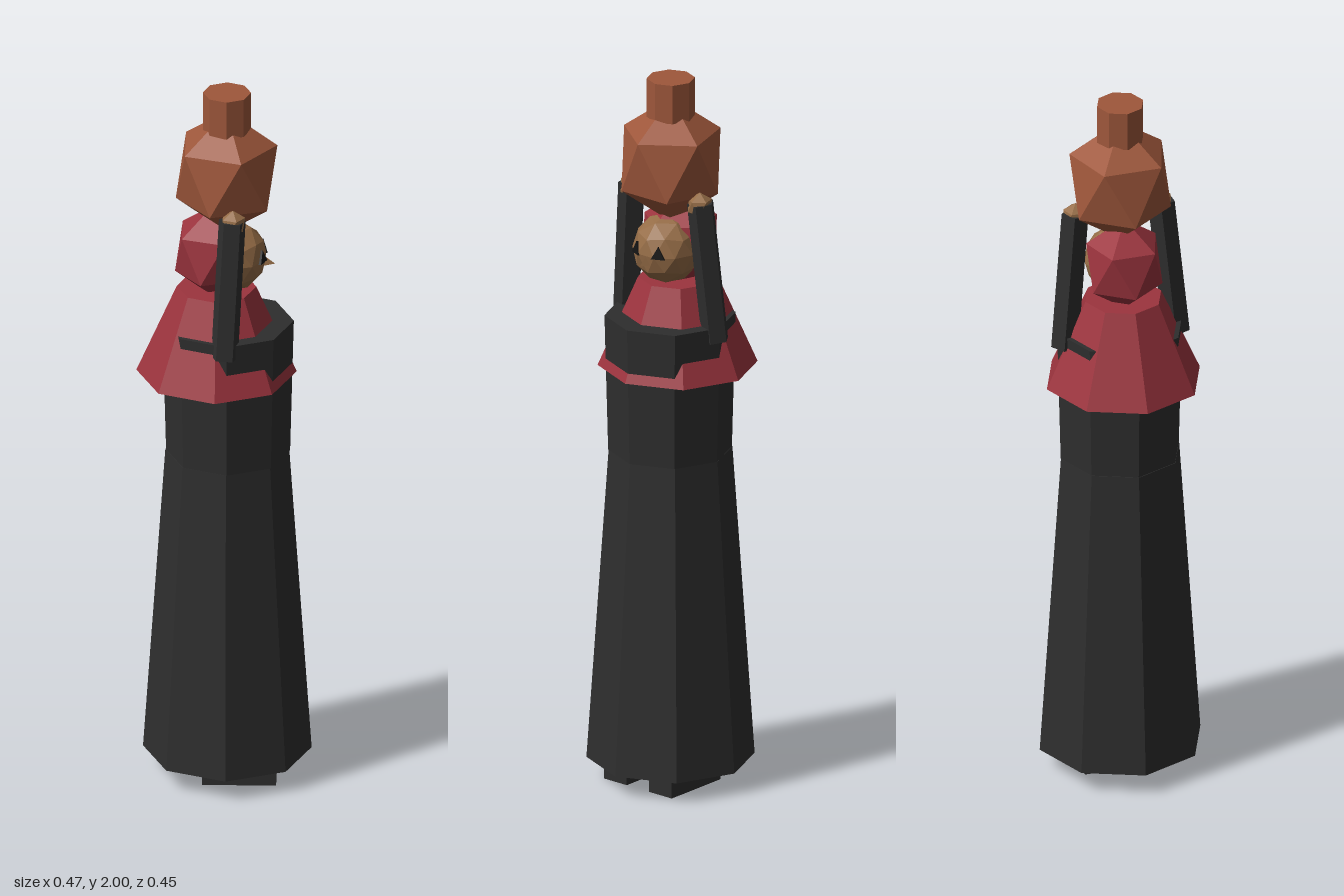
import * as THREE from 'three';

const mat = (name, color) => {
  const m = new THREE.MeshStandardMaterial({ color });
  m.name = name;
  return m;
};

// Faceted copy of a geometry, one normal per face
function facet(geo) {
  const g = geo.index ? geo.toNonIndexed() : geo;
  g.computeVertexNormals();
  return g;
}

// Icosahedron-based ball standing on a vertex, stretched vertically
function ball(rx, ry, detail) {
  const g = new THREE.IcosahedronGeometry(1, detail);
  g.rotateZ(-Math.atan(2 / (1 + Math.sqrt(5))));
  g.scale(rx, ry, rx);
  return facet(g);
}

// Faceted frustum between two heights
function frustum(rTop, rBottom, y0, y1, sides = 8) {
  const g = new THREE.CylinderGeometry(rTop, rBottom, y1 - y0, sides);
  g.translate(0, (y0 + y1) / 2, 0);
  return facet(g);
}

export function createModel() {
  const cloth = mat('blackCloth', 0x2e2e2e);
  const red = mat('redCloth', 0x9c343e);
  const clay = mat('clay', 0x9e573b);
  const skin = mat('skin', 0x966d47);
  const black = mat('eyeBlack', 0x141414);

  const model = new THREE.Group();
  model.name = 'waterCarrier';
  const add = (name, geo, material, x = 0, y = 0, z = 0) => {
    const mesh = new THREE.Mesh(geo, material);
    mesh.name = name;
    mesh.position.set(x, y, z);
    model.add(mesh);
    return mesh;
  };

  // Robe and shawl; the figure faces +x
  add('skirt', frustum(0.167, 0.227, 0.06, 0.94), cloth, 0.008);
  add('torso', frustum(0.177, 0.167, 0.94, 1.325), cloth, 0.01);
  add('shawl', frustum(0.107, 0.216, 1.175, 1.425), red, -0.021);

  // Head, scarf and nose
  const headPos = new THREE.Vector3(0.022, 1.518, 0);
  add('headScarf', ball(0.115, 0.135, 0), red, -0.03, 1.53, 0);
  add('head', ball(0.094, 0.097, 1), skin, headPos.x, headPos.y, 0);
  const noseGeo = new THREE.ConeGeometry(0.025, 0.05, 3);
  noseGeo.rotateY(-Math.PI / 2).rotateZ(-Math.PI / 2 - 0.2);
  add('nose', facet(noseGeo), skin, 0.112, 1.499, 0);

  // Thin triangular eye plate
  const eyeShape = new THREE.Shape();
  eyeShape.moveTo(-0.019, -0.015);
  eyeShape.lineTo(0.019, -0.015);
  eyeShape.lineTo(0, 0.02);
  eyeShape.closePath();
  const eyeGeo = new THREE.ExtrudeGeometry(eyeShape, { depth: 0.008, bevelEnabled: false });

  const up = new THREE.Vector3(0, 1, 0);
  for (const side of [1, -1]) {
    const label = side > 0 ? 'left' : 'right';

    // Eyes face outward from the head
    const out = new THREE.Vector3(0.9, 0.13, 0.42 * side).normalize();
    const eye = add(label + 'Eye', eyeGeo, black);
    eye.position.copy(headPos).addScaledVector(out, 0.086);
    eye.lookAt(eye.position.clone().add(out));

    // Feet
    add(label + 'Foot', new THREE.BoxGeometry(0.2, 0.1, 0.08), cloth, 0.042, 0.05, 0.08 * side);

    // Raised five-sided arms
    const from = new THREE.Vector3(0.004, 1.285, 0.158 * side);
    const to = new THREE.Vector3(0.024, 1.675, 0.122 * side);
    const dir = to.clone().sub(from);
    const armGeo = new THREE.CylinderGeometry(0.038, 0.038, dir.length(), 5);
    armGeo.rotateY(Math.PI);
    const arm = add(label + 'Arm', facet(armGeo), cloth);
    arm.position.copy(from).add(to).multiplyScalar(0.5);
    arm.quaternion.setFromUnitVectors(up, dir.normalize());

    // Hands
    add(label + 'Hand', ball(0.037, 0.037, 0), skin, 0.026, 1.668, 0.12 * side);
  }

  // Clay jar balanced on the head
  add('jarBody', ball(0.153, 0.178, 0), clay, 0.006, 1.766, 0);
  add('jarNeck', frustum(0.065, 0.065, 1.89, 2.0), clay, 0.007);

  return model;
}
